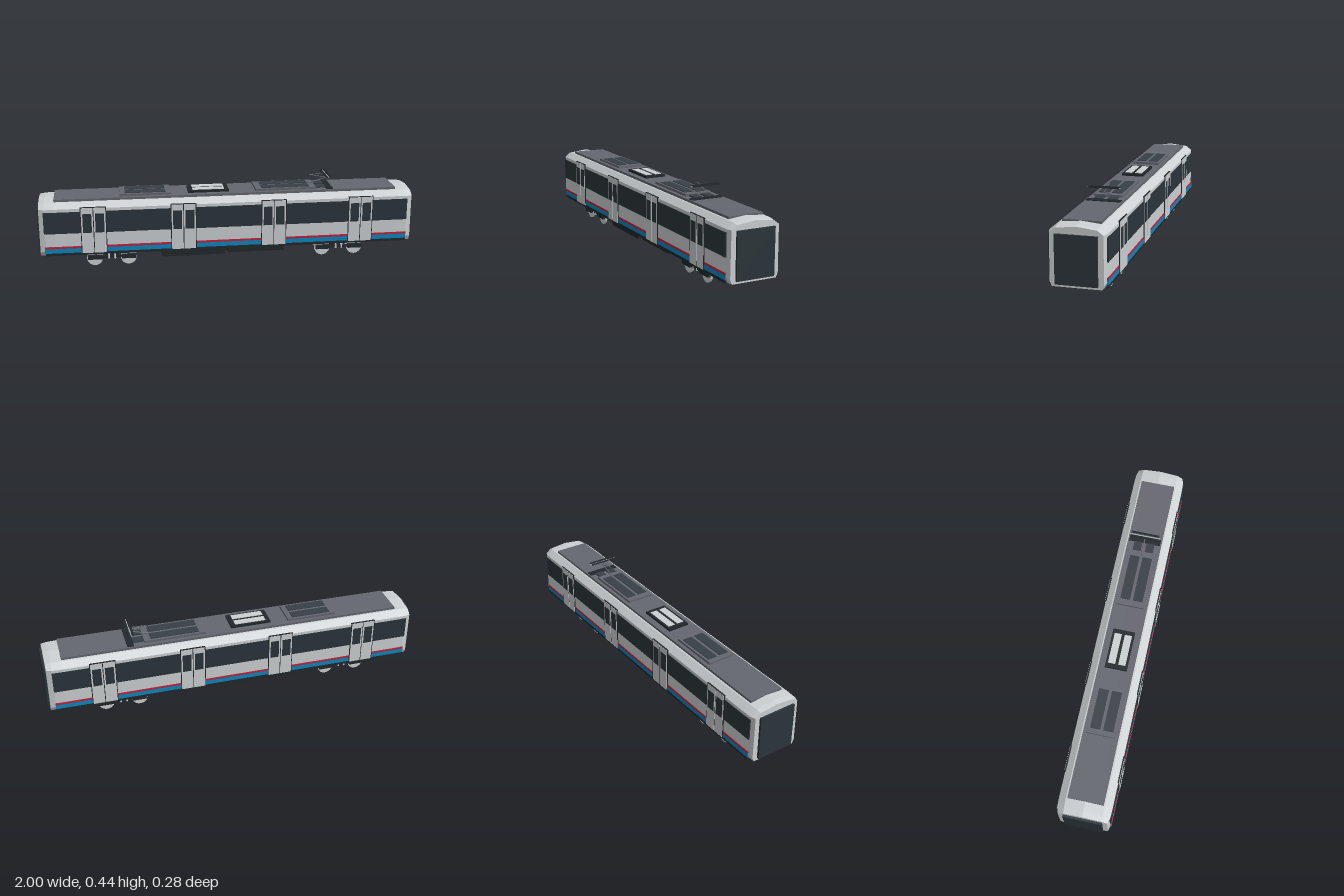
import * as THREE from 'three';

const mat = (name, color) => Object.assign(new THREE.MeshStandardMaterial({ color }), { name });

export function createModel() {
  const body = mat('body silver', 0xcdd1d3);
  const glass = mat('dark glass', 0x2c353b);
  const dark = mat('underframe black', 0x22282c);
  const roofGrey = mat('roof grey', 0x65676f);
  const blue = mat('stripe blue', 0x0f86bd);
  const red = mat('stripe red', 0xb8283f);
  const grille = mat('grille grey', 0x394046);

  const train = new THREE.Group();
  train.name = 'railCar';

  const add = (name, geometry, material, parent = train) => {
    const m = new THREE.Mesh(geometry, material);
    m.name = name;
    parent.add(m);
    return m;
  };
  // Box given by its limits on each axis
  const box = (name, material, [x0, x1], [y0, y1], [z0, z1], parent) => {
    const m = add(name, new THREE.BoxGeometry(x1 - x0, y1 - y0, z1 - z0), material, parent);
    m.position.set((x0 + x1) / 2, (y0 + y1) / 2, (z0 + z1) / 2);
    return m;
  };
  // Round rod between two points
  const rod = (name, material, a, b, r, parent) => {
    const p = new THREE.Vector3(...a), q = new THREE.Vector3(...b);
    const m = add(name, new THREE.CylinderGeometry(r, r, p.distanceTo(q), 8), material, parent);
    m.position.copy(p).add(q).multiplyScalar(0.5);
    m.quaternion.setFromUnitVectors(new THREE.Vector3(0, 1, 0), q.sub(p).normalize());
    return m;
  };

  // Body shell: faceted cross-sections (z, y) lofted along x, tapering at both ends
  const full = [[0.121, 0.083], [0.136, 0.11], [0.136, 0.336], [0.1, 0.362], [0, 0.372]];
  const end = [[0.117, 0.083], [0.127, 0.105], [0.125, 0.335], [0.097, 0.356], [0, 0.367]];
  const mirror = (h) => [...h, ...h.slice(0, -1).reverse().map(([z, y]) => [-z, y])];
  const mid = full.map(([z, y], i) => [z - (i < 4 ? 0.002 : 0), y - (i > 1 ? 0.001 : 0)]);
  const sections = [[-0.988, end], [-0.96, mid], [-0.91, full], [0.91, full], [0.96, mid], [0.988, end]]
    .map(([x, h]) => mirror(h).map(([z, y]) => [x, y, z]));
  const pos = [];
  const tri = (...pts) => pts.forEach((p) => pos.push(...p));
  const n = sections[0].length;
  for (let s = 0; s < sections.length - 1; s++) {
    for (let i = 0; i < n; i++) {
      const j = (i + 1) % n;
      const a = sections[s][i], b = sections[s][j], c = sections[s + 1][j], d = sections[s + 1][i];
      tri(a, d, c);
      tri(a, c, b);
    }
  }
  const first = sections[0], last = sections[sections.length - 1];
  for (let i = 1; i < n - 1; i++) {
    tri(first[0], first[i], first[i + 1]);
    tri(last[0], last[i + 1], last[i]);
  }
  const shell = new THREE.BufferGeometry();
  shell.setAttribute('position', new THREE.Float32BufferAttribute(pos, 3));
  shell.computeVertexNormals();
  add('bodyShell', shell, body);

  // Gangway panels on both ends
  for (const s of [-1, 1]) {
    const x = [s * 0.98, s].sort((a, b) => a - b);
    box('endPanel', glass, x, [0.096, 0.33], [-0.1, 0.1]);
  }

  // Sides: window bands and stripes between four double doors
  const doors = [-0.71, -0.243, 0.236, 0.706];
  const bays = [[-0.965, -0.776], [-0.644, -0.309], [-0.177, 0.17], [0.302, 0.64], [0.772, 0.962]];
  for (const s of [1, -1]) {
    const side = new THREE.Group();
    side.name = s > 0 ? 'frontSide' : 'backSide';
    train.add(side);
    const z = (a, b) => (s > 0 ? [a, b] : [-b, -a]);
    for (const bay of bays) {
      box('windowBand', glass, bay, [0.205, 0.32], z(0.131, 0.139), side);
      box('redStripe', red, bay, [0.123, 0.134], z(0.131, 0.139), side);
      box('blueStripe', blue, bay, [0.099, 0.123], z(0.131, 0.139), side);
    }
    box('sillStrip', dark, [-0.962, 0.962], [0.084, 0.098], z(0.131, 0.137), side);
    for (const x of doors) {
      box('doorFrame', dark, [x - 0.067, x + 0.067], [0.092, 0.343], z(0.133, 0.14), side);
      for (const d of [-1, 1]) {
        const c = x + d * 0.0325;
        box('doorLeaf', body, [c - 0.0305, c + 0.0305], [0.095, 0.34], z(0.134, 0.1415), side);
        box('doorWindow', glass, [c - 0.023, c + 0.023], [0.206, 0.308], z(0.135, 0.1422), side);
      }
    }
  }

  // Roof deck and equipment
  box('roofDeck', roofGrey, [-0.91, 0.905], [0.355, 0.375], [-0.092, 0.092]);
  const roofUnit = (name, x, halfZ, base, top, inset) => {
    box(name, base, x, [0.37, 0.387], [-halfZ, halfZ]);
    for (const s of [-1, 1]) {
      const z = [s * 0.008, s * (halfZ - 0.012)].sort((a, b) => a - b);
      box(name + 'Panel', top, [x[0] + inset, x[1] - inset], [0.385, 0.39], z);
    }
  };
  roofUnit('coolingUnit', [-0.57, -0.304], 0.072, roofGrey, grille, 0.027);
  roofUnit('ventUnit', [-0.21, 0.006], 0.058, dark, body, 0.024);
  roofUnit('resistorUnit', [0.148, 0.473], 0.072, roofGrey, grille, 0.034);

  // Pantograph
  const panto = new THREE.Group();
  panto.name = 'pantograph';
  train.add(panto);
  box('baseBeam', dark, [0.53, 0.565], [0.373, 0.379], [-0.085, 0.085], panto);
  for (const s of [-1, 1]) {
    const z = [s * 0.012, s * 0.055].sort((a, b) => a - b);
    box('baseBlock', grille, [0.473, 0.53], [0.372, 0.382], z, panto);
  }
  rod('lowerArm', roofGrey, [0.445, 0.388, 0], [0.545, 0.416, 0], 0.003, panto);
  rod('upperArm', roofGrey, [0.545, 0.416, 0], [0.45, 0.436, 0], 0.002, panto);
  rod('headLink', roofGrey, [0.45, 0.436, 0], [0.54, 0.438, 0], 0.0015, panto);
  for (const x of [0.53, 0.553]) {
    box('contactStrip', dark, [x - 0.005, x + 0.005], [0.438, 0.442], [-0.076, 0.076], panto);
  }
  rod('headBar', body, [0.541, 0.437, -0.083], [0.541, 0.437, 0.083], 0.002, panto);

  // Bogies: two wheelsets, side frames and a bolster
  for (const cx of [-0.622, 0.605]) {
    const bogie = new THREE.Group();
    bogie.name = 'bogie';
    bogie.position.x = cx;
    train.add(bogie);
    for (const x of [-0.089, 0.089]) {
      rod('axle', dark, [x, 0.043, -0.08], [x, 0.043, 0.08], 0.008, bogie);
      for (const s of [-1, 1]) {
        const wheel = add('wheel', new THREE.CylinderGeometry(0.042, 0.042, 0.012, 24), body, bogie);
        wheel.rotation.x = Math.PI / 2;
        wheel.position.set(x, 0.043, s * 0.072);
        const z = [s * 0.079, s * 0.094].sort((a, b) => a - b);
        box('axleBox', dark, [x - 0.037, x + 0.04], [0.038, 0.06], z, bogie);
      }
    }
    for (const s of [-1, 1]) {
      const z = [s * 0.08, s * 0.091].sort((a, b) => a - b);
      box('sideFrame', dark, [-0.08, 0.08], [0.045, 0.056], z, bogie);
      for (const x of [-0.016, 0.016]) {
        rod('spring', body, [x, 0.04, s * 0.088], [x, 0.064, s * 0.088], 0.006, bogie);
      }
    }
    box('bolster', dark, [-0.035, 0.035], [0.04, 0.066], [-0.08, 0.08], bogie);
    rod('pivot', dark, [0, 0.06, 0], [0, 0.085, 0], 0.02, bogie);
  }

  // Underfloor equipment boxes on hangers
  box('equipmentBoxRight', dark, [-0.355, -0.02], [0.038, 0.068], [-0.094, 0.094]);
  box('equipmentBoxLeft', dark, [0.0, 0.305], [0.037, 0.065], [-0.075, 0.075]);
  box('equipmentLink', dark, [-0.07, 0.057], [0.032, 0.058], [-0.03, 0.03]);
  for (const x of [-0.28, -0.1, 0.08, 0.23]) {
    box('hanger', dark, [x - 0.01, x + 0.01], [0.06, 0.085], [-0.01, 0.01]);
  }
  return train;
}
